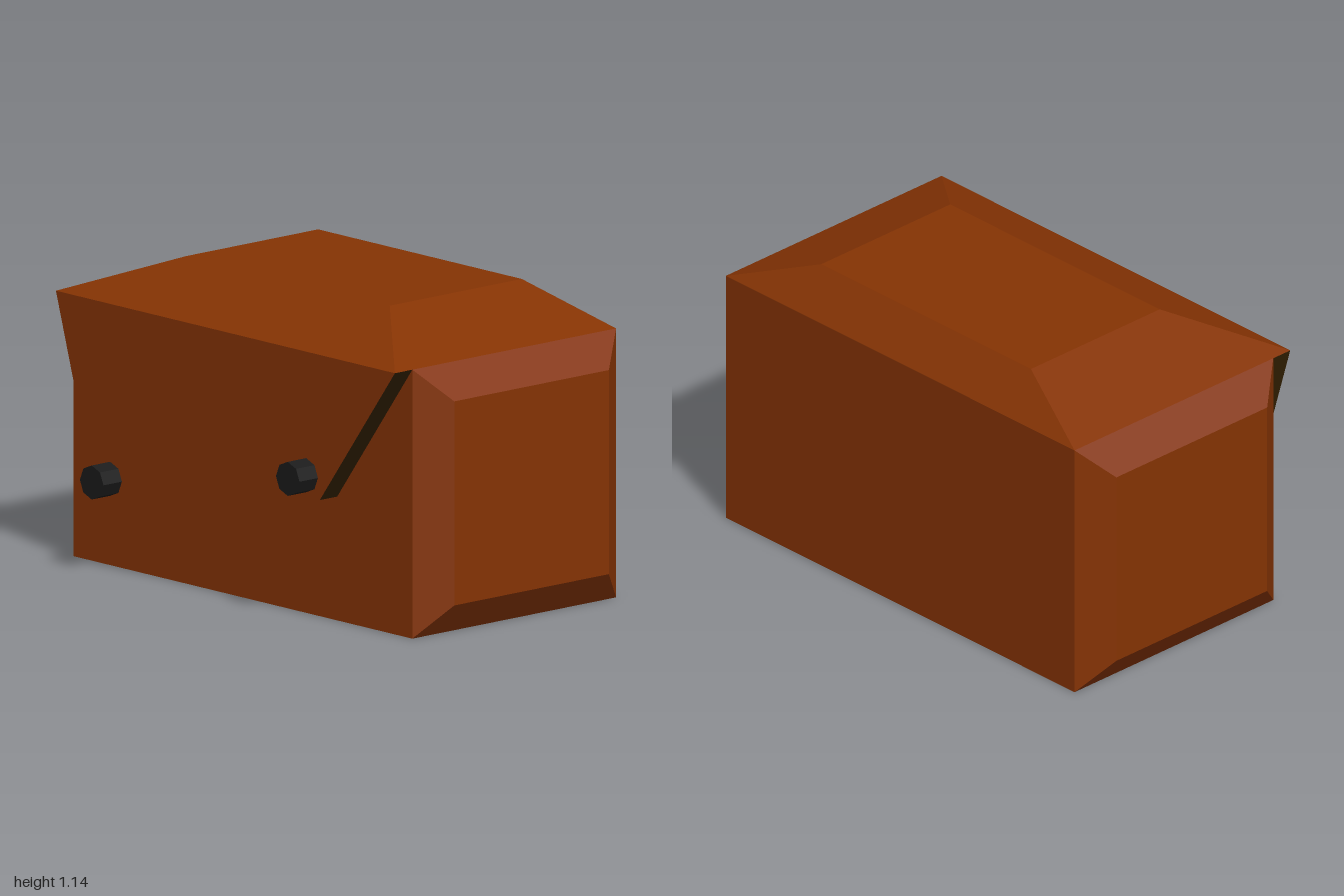
import * as THREE from 'three';

// Box whose corners are pulled in at one end: rule(v) moves each corner
function shapedBox(rule) {
  const geo = new THREE.BoxGeometry(2, 2, 2);
  const pos = geo.attributes.position;
  const v = new THREE.Vector3();
  for (let i = 0; i < pos.count; i++) {
    v.fromBufferAttribute(pos, i);
    rule(v);
    pos.setXYZ(i, v.x, v.y, v.z);
  }
  geo.computeVertexNormals();
  return geo;
}

function colour(name, hex) {
  const mat = new THREE.MeshStandardMaterial({ color: hex });
  mat.name = name;
  return mat;
}

export function createModel() {
  const model = new THREE.Group();
  const leather = colour('brown leather', 0x853303);
  const edge = colour('dark flap edge', 0x352200);
  const black = colour('black studs', 0x1b1b1b);

  const add = (name, geo, mat) => {
    const mesh = new THREE.Mesh(geo, mat);
    mesh.name = name;
    model.add(mesh);
    return mesh;
  };

  const W = 0.907, H = 0.995, BACK = -0.585, FRONT = 0.41, FLAP = 0.495;

  // Main bag body
  add('body', shapedBox((v) => v.set(
    v.x * W,
    v.y > 0 ? H : 0,
    v.z > 0 ? FRONT : BACK,
  )), leather);

  // Bevelled side pockets
  for (const side of [1, -1]) {
    add(side > 0 ? 'leftPocket' : 'rightPocket', shapedBox((v) => {
      const outer = v.x * side > 0;
      const inset = outer ? 0.12 : 0;
      v.set(
        side * (outer ? 1 : W),
        v.y > 0 ? H - inset : inset,
        v.z > 0 ? FRONT - inset : BACK + inset,
      );
    }), leather);
  }

  // Sloped lid overhanging the front
  add('lid', shapedBox((v) => {
    const top = v.y > 0;
    v.set(
      v.x * (top ? 0.545 : W),
      top ? 1.137 : H,
      v.z > 0 ? (top ? 0.19 : FLAP) : (top ? -0.455 : BACK),
    );
  }), leather);

  // Slanted front flap hanging from the lid, with dark cut edges
  const outline = new THREE.Shape([
    new THREE.Vector2(-W, H),
    new THREE.Vector2(-0.68, 0.228),
    new THREE.Vector2(0.505, 0.458),
    new THREE.Vector2(W, H),
  ]);
  const flap = add('frontFlap', new THREE.ExtrudeGeometry(outline, {
    depth: FLAP - FRONT, bevelEnabled: false,
  }), [leather, edge]);
  flap.position.z = FRONT;

  // Eight-sided studs fastening the flap
  const studGeo = new THREE.CylinderGeometry(0.063, 0.063, 0.09, 8).toNonIndexed();
  studGeo.rotateX(Math.PI / 2);
  studGeo.computeVertexNormals();
  [[-0.617, 0.348], [0.432, 0.538]].forEach(([x, y], i) => {
    add(i ? 'leftStud' : 'rightStud', studGeo, black).position.set(x, y, FLAP + 0.045);
  });

  return model;
}
